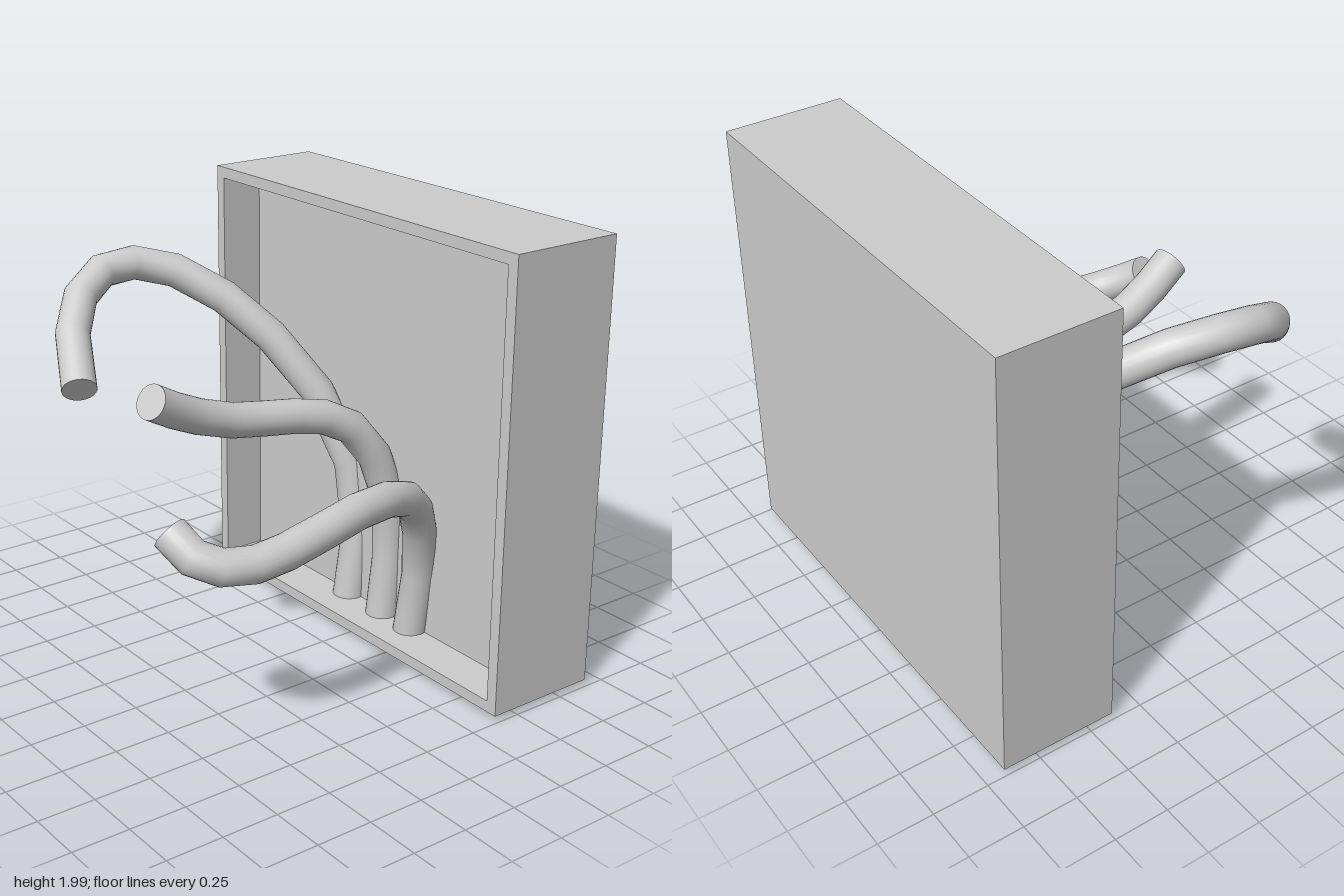
import * as THREE from 'three';

const material = new THREE.MeshStandardMaterial({ color: 0xcccccc });
const RADIUS = 0.076;

// Curve whose rings fall exactly on its control points
class KnotCurve extends THREE.CatmullRomCurve3 {
  getPointAt(t, target) { return this.getPoint(t, target); }
  getTangentAt(t, target) { return this.getTangent(t, target); }
}

function addMesh(parent, geometry, name) {
  const mesh = new THREE.Mesh(geometry, material);
  mesh.name = name;
  parent.add(mesh);
  return mesh;
}

// Rectangle corners, counter-clockwise
function rectangle(x0, y0, x1, y1) {
  return [[x0, y0], [x1, y0], [x1, y1], [x0, y1]].map(([x, y]) => new THREE.Vector2(x, y));
}

// Bent round tube with flat caps on both ends
function makeTentacle(name, points) {
  const group = new THREE.Group();
  group.name = name;
  const curve = new KnotCurve(points.map((p) => new THREE.Vector3(...p)));
  addMesh(group, new THREE.TubeGeometry(curve, points.length - 1, RADIUS, 24), name + 'Body');
  for (const t of [0, 1]) {
    const cap = addMesh(group, new THREE.CircleGeometry(RADIUS, 24), name + (t ? 'TipCap' : 'BaseCap'));
    const outward = curve.getTangent(t).multiplyScalar(t ? 1 : -1);
    cap.position.copy(curve.getPoint(t));
    cap.quaternion.setFromUnitVectors(new THREE.Vector3(0, 0, 1), outward);
  }
  return group;
}

export function createModel() {
  const model = new THREE.Group();
  model.name = 'wallBoxWithTentacles';

  // Open-fronted box: rim around the recess, solid block behind
  const box = new THREE.Group();
  box.name = 'box';
  const outline = new THREE.Shape(rectangle(-0.987, 0.03, 0.985, 2));
  outline.holes.push(new THREE.Path(rectangle(-0.937, 0.08, 0.932, 1.95).reverse()));
  const rim = addMesh(box, new THREE.ExtrudeGeometry(outline, { depth: 0.2, bevelEnabled: false }), 'rim');
  rim.position.z = -0.585;
  const back = addMesh(box, new THREE.BoxGeometry(1.972, 1.97, 0.328), 'backBlock');
  back.position.set(-0.001, 1.015, -0.749);
  model.add(box);

  // Three tentacles rising from the floor of the box and out of its front
  model.add(
    makeTentacle('rightTentacle', [
      [-0.215, 0.018, -0.565], [-0.21, 0.38, -0.615], [-0.26, 0.72, -0.605], [-0.38, 1.05, -0.505],
      [-0.54, 1.3, -0.36], [-0.68, 1.48, -0.2], [-0.82, 1.6, -0.03], [-0.9, 1.645, 0.135],
      [-0.91, 1.63, 0.295], [-0.845, 1.555, 0.445], [-0.725, 1.435, 0.56], [-0.505, 1.265, 0.665],
    ]),
    makeTentacle('middleTentacle', [
      [0.035, 0.025, -0.56], [0.04, 0.35, -0.595], [0.045, 0.65, -0.58], [0.035, 0.87, -0.5],
      [0.01, 1.02, -0.385], [-0.01, 1.09, -0.25], [-0.03, 1.12, -0.1], [-0.047, 1.137, 0.05],
      [-0.055, 1.16, 0.2], [-0.052, 1.215, 0.37], [-0.035, 1.275, 0.5], [-0.01, 1.345, 0.625],
    ]),
    makeTentacle('leftTentacle', [
      [0.235, 0.03, -0.555], [0.265, 0.36, -0.58], [0.315, 0.6, -0.53], [0.365, 0.735, -0.46],
      [0.42, 0.825, -0.36], [0.495, 0.89, -0.19], [0.56, 0.913, 0.02], [0.605, 0.9, 0.22],
      [0.627, 0.872, 0.43], [0.627, 0.86, 0.58], [0.595, 0.872, 0.71], [0.53, 0.915, 0.8],
      [0.43, 0.99, 0.835],
    ]),
  );
  return model;
}
